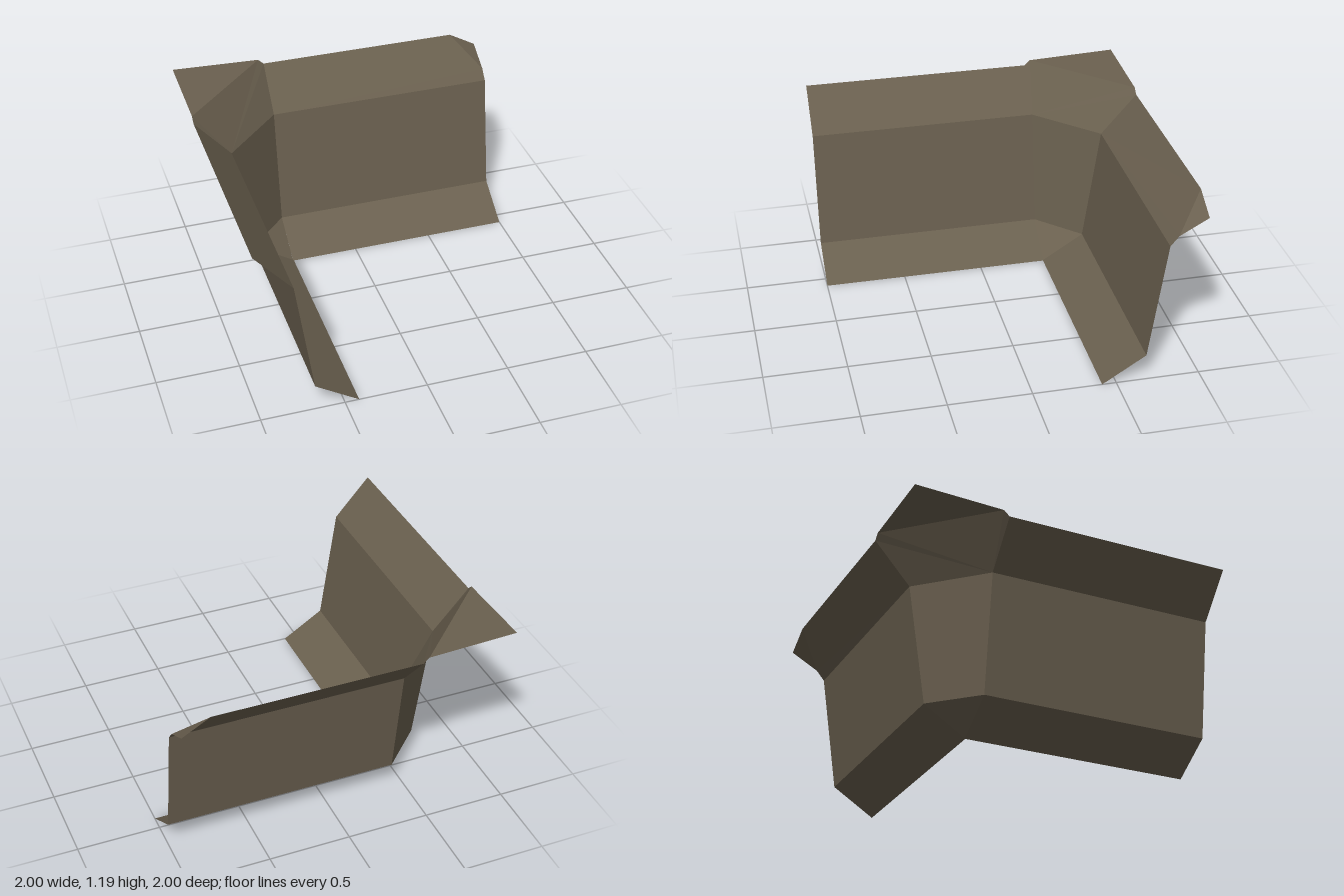
import * as THREE from 'three';

// Wall section: distance from the centre line (negative = outward) and height
const BASE = [-0.415, 0], FOOT = [-0.675, 0.165], SHOULDER = [-0.78, 0.885], LIP = [-1, 1.135];
const INNER = -0.42; // where the straight runs meet the corner
const END = 1;

// Convex flat panels, each a loop of points, drawn as fans
function panels(name, material, loops) {
  const pos = [];
  for (const loop of loops) {
    for (let i = 1; i < loop.length - 1; i++) pos.push(...loop[0], ...loop[i], ...loop[i + 1]);
  }
  const geometry = new THREE.BufferGeometry();
  geometry.setAttribute('position', new THREE.Float32BufferAttribute(pos, 3));
  geometry.computeVertexNormals();
  const mesh = new THREE.Mesh(geometry, material);
  mesh.name = name;
  return mesh;
}

// Point on the back run, and its mirror across the diagonal on the right run
const back = ([d, y], along) => [along, y, d];
const side = ([d, y], along) => [d, y, along];

export function createModel() {
  const stone = new THREE.MeshStandardMaterial({ color: 0x6a604f, side: THREE.DoubleSide, flatShading: true });
  stone.name = 'weathered stone';
  const group = new THREE.Group();
  group.name = 'cornerWall';

  // Straight strips of both runs
  const strips = [['Skirt', BASE, FOOT], ['Wall', FOOT, SHOULDER], ['Flange', SHOULDER, LIP]];
  for (const [label, lo, hi] of strips) {
    group.add(panels('side' + label, stone, [
      [side(lo, END), side(lo, INNER), side(hi, INNER), side(hi, END)],
    ]));
    if (label !== 'Flange') {
      group.add(panels('back' + label, stone, [
        [back(lo, INNER), back(lo, END), back(hi, END), back(hi, INNER)],
      ]));
    }
  }

  // Back flange with its outer corner folded down
  const foldSide = [END, 0.945, -0.83], foldTop = [0.83, LIP[1], LIP[0]];
  group.add(panels('backFlange', stone, [
    [back(SHOULDER, INNER), back(SHOULDER, END), foldSide, foldTop, back(LIP, INNER)],
  ]));
  group.add(panels('foldedCorner', stone, [[foldSide, [END, 1.04, -1], foldTop]]));

  // Diagonal corner joining the runs
  group.add(panels('cornerSkirt', stone, [
    [[INNER, 0, INNER], back(FOOT, INNER), side(FOOT, INNER)],
  ]));
  group.add(panels('cornerWall', stone, [
    [side(FOOT, INNER), back(FOOT, INNER), back(SHOULDER, INNER), side(SHOULDER, INNER)],
  ]));
  const rim = [-1, 1.168], rimAt = -0.455;
  group.add(panels('cornerFlange', stone, [
    [side(SHOULDER, INNER), back(SHOULDER, INNER), back(LIP, INNER),
      back(rim, rimAt), side(rim, rimAt), side(LIP, INNER)],
  ]));
  // Nearly level cap behind the corner
  group.add(panels('cornerCap', stone, [[side(rim, rimAt), back(rim, rimAt), [-1, 1.19, -1]]]));

  return group;
}
